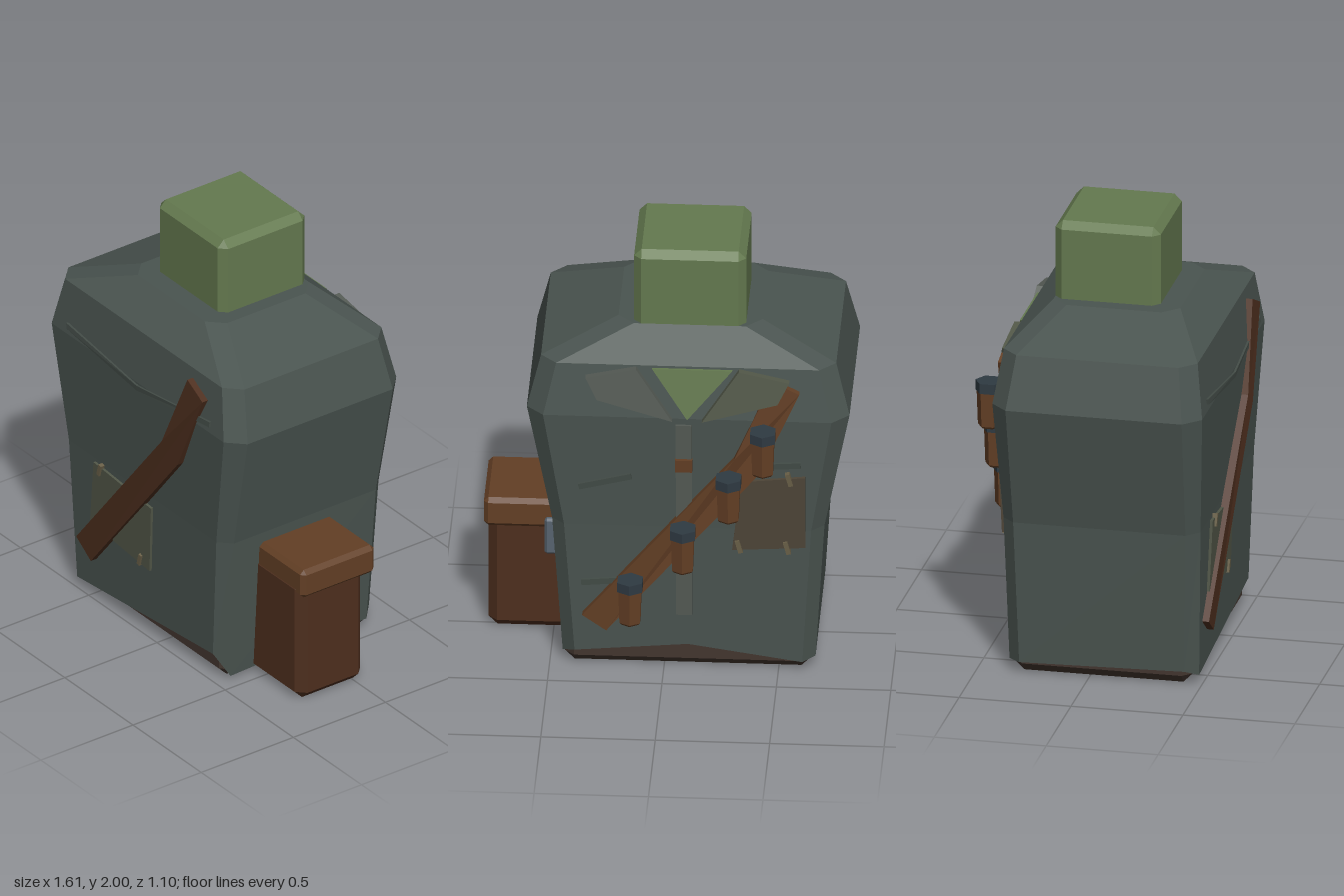
import * as THREE from 'three';
import { ConvexGeometry } from 'three/addons/geometries/ConvexGeometry.js';

const mat = (color) => new THREE.MeshStandardMaterial({ color, flatShading: true, side: THREE.DoubleSide });
const COAT = mat(0x4a5450), CREASE = mat(0x434c47), FLAP = mat(0x545a54), OLIVE = mat(0x525748);
const SKIN = mat(0x64794f), LEATHER = mat(0x4e2f1e), LID = mat(0x633f25), UNDER = mat(0x43362f);
const PATCH = mat(0x4f4638), THREAD = mat(0x6a6048), CAP = mat(0x2f3a42), STEEL = mat(0x57636f);
const MID = -0.105; // the torso's own centre line

// Torso levels: y, x range, z range, corner cut
const LEVELS = [
  [0.05, -0.66, 0.445, -0.362, 0.485, 0.055],
  [0.72, -0.70, 0.49, -0.38, 0.50, 0.055],
  [1.28, -0.81, 0.60, -0.41, 0.527, 0.075],
  [1.52, -0.75, 0.54, -0.37, 0.495, 0.07],
  [1.645, -0.42, 0.21, -0.22, 0.345, 0.07],
];
// Uneven hem heights around the bottom ring
const HEM = [0.04, 0.125, 0.02, 0.05, 0.08, 0.125, 0.05, 0.055, 0.07];

function torsoGeometry() {
  const pos = [], idx = [], n = 9;
  LEVELS.forEach(([y, x0, x1, z0, z1, c], k) => {
    const ring = [
      [x0 + c, z1], [x1 - c, z1], [x1, z1 - c], [x1, z0 + c], [x1 - c, z0],
      [MID, z0], [x0 + c, z0], [x0, z0 + c], [x0, z1 - c],
    ];
    ring.forEach(([x, z], i) => pos.push(x, k ? y : HEM[i], z));
  });
  for (let k = 0; k < LEVELS.length - 1; k++) {
    for (let i = 0; i < n; i++) {
      const a = k * n + i, b = k * n + (i + 1) % n;
      idx.push(a, b, b + n, a, b + n, a + n);
    }
  }
  const top = (LEVELS.length - 1) * n;
  for (let i = 1; i < n - 1; i++) idx.push(top, top + i, top + i + 1);
  const g = new THREE.BufferGeometry();
  g.setAttribute('position', new THREE.Float32BufferAttribute(pos, 3));
  g.setIndex(idx);
  g.computeVertexNormals();
  return g;
}

// Depth of the torso's front or back surface at height y
function surface(y, back) {
  const col = back ? 3 : 4;
  let k = 0;
  while (k < LEVELS.length - 2 && y > LEVELS[k + 1][0]) k++;
  const a = LEVELS[k], b = LEVELS[k + 1];
  return THREE.MathUtils.mapLinear(y, a[0], b[0], a[col], b[col]);
}

// Thin plate with an outline in x/y, laid on the front or back of the torso
function plateGeometry(points, lift, back) {
  const shape = new THREE.Shape(points.map(([x, y]) => new THREE.Vector2(x, y)));
  const g = new THREE.ExtrudeGeometry(shape, { depth: 1, bevelEnabled: false });
  const p = g.attributes.position;
  for (let i = 0; i < p.count; i++) {
    const s = surface(p.getY(i), back), outer = (p.getZ(i) > 0.5) !== back;
    const out = outer ? lift : -0.02;
    p.setZ(i, back ? s - out : s + out);
  }
  g.computeVertexNormals();
  return g;
}

// Box with cut edges, given by its ranges
function cutBox(x0, x1, y0, y1, z0, z1, c) {
  const pts = [];
  for (const i of [0, 1]) for (const j of [0, 1]) for (const k of [0, 1]) {
    for (let axis = 0; axis < 3; axis++) {
      const inset = [c, c, c];
      inset[axis] = 0;
      pts.push(new THREE.Vector3(
        i ? x1 - inset[0] : x0 + inset[0],
        j ? y1 - inset[1] : y0 + inset[1],
        k ? z1 - inset[2] : z0 + inset[2]));
    }
  }
  return new ConvexGeometry(pts);
}

// Tilted strip outline from one point to another
function strip(x0, y0, x1, y1, w) {
  const l = Math.hypot(x1 - x0, y1 - y0), dx = -(y1 - y0) / l * w / 2, dy = (x1 - x0) / l * w / 2;
  return [[x0 + dx, y0 + dy], [x1 + dx, y1 + dy], [x1 - dx, y1 - dy], [x0 - dx, y0 - dy]];
}

export function createModel() {
  const model = new THREE.Group();
  const add = (name, geometry, material, parent = model) => {
    const m = new THREE.Mesh(geometry, material);
    m.name = name;
    parent.add(m);
    return m;
  };
  const plate = (name, points, lift, back, material) => add(name, plateGeometry(points, lift, back), material);
  const mirror = (points) => points.map(([x, y]) => [2 * MID - x, y]);

  // Torso, head and the underside showing below the hem
  add('coat', torsoGeometry(), COAT);
  add('head', cutBox(-0.35, 0.14, 1.58, 2.0, -0.22, 0.25, 0.033), SKIN);
  add('underside', cutBox(-0.64, 0.435, 0, 0.3, -0.34, 0.455, 0.042), UNDER);

  // Shoulder strap, the same on front and back
  const strap = [[-0.565, 0.275], [-0.46, 0.2], [0.21, 1.02], [0.385, 1.42], [0.265, 1.475], [0.1, 1.09]];
  plate('frontStrap', strap, 0.03, false, LEATHER);
  plate('backStrap', mirror(strap), 0.03, true, LID);

  // Front crease and patch
  plate('chestCrease', [[-0.625, 1.335], [-0.62, 1.31], [-0.1, 1.245], [0.425, 1.31], [0.425, 1.335], [-0.1, 1.27]],
    0.01, false, CREASE);
  plate('frontPatch', [[-0.45, 0.705], [-0.485, 0.385], [-0.05, 0.34], [-0.03, 0.67]], 0.012, false, OLIVE);
  for (const [x, y] of [[-0.4, 0.69], [-0.115, 0.37]])
    plate('stitch', strip(x - 0.008, y - 0.028, x + 0.008, y + 0.028, 0.018), 0.022, false, THREAD);

  // Collar flaps and the bare neck between them
  const flap = [[-0.33, 1.515], [-0.55, 1.47], [-0.5, 1.37], [-0.17, 1.28]];
  plate('rightCollarFlap', flap, 0.03, true, OLIVE);
  plate('leftCollarFlap', mirror(flap), 0.03, true, FLAP);
  plate('neckOpening', [[0.05, 1.51], [-0.3, 1.51], [MID, 1.28]], 0.012, true, SKIN);

  // Back seam, its button, creases and patch
  plate('backSeam', strip(-0.09, 0.28, -0.09, 1.25, 0.07), 0.012, true, FLAP);
  plate('seamButton', strip(-0.09, 1.02, -0.09, 1.08, 0.075), 0.03, true, LID);
  for (const [x0, y0, x1, y1] of [[0.37, 0.92, 0.14, 0.98], [0.36, 0.43, 0.15, 0.45], [-0.46, 1.05, -0.6, 1.06]])
    plate('backCrease', strip(x0, y0, x1, y1, 0.028), 0.012, true, CREASE);
  plate('backPatch', [[-0.34, 0.97], [-0.62, 1.0], [-0.62, 0.64], [-0.3, 0.62]], 0.015, true, PATCH);
  for (const [x, y] of [[-0.55, 0.99], [-0.33, 0.64], [-0.54, 0.64]])
    plate('stitch', strip(x - 0.008, y - 0.03, x + 0.008, y + 0.03, 0.02), 0.026, true, THREAD);

  // Capped vials hanging along the back strap
  for (const [x, y] of [[-0.44, 1.06], [-0.29, 0.825], [-0.09, 0.565], [0.14, 0.297]]) {
    const vial = new THREE.Group();
    vial.name = 'vial';
    vial.position.set(x, y, -0.488);
    add('vialBody', new THREE.CylinderGeometry(0.058, 0.052, 0.165, 6), LID, vial).position.y = 0.0925;
    add('vialBase', new THREE.CylinderGeometry(0.052, 0.044, 0.01, 6), LID, vial).position.y = 0.005;
    add('vialCap', new THREE.CylinderGeometry(0.063, 0.063, 0.046, 6), CAP, vial).position.y = 0.19;
    model.add(vial);
  }

  // Side pouch with lid and clip
  add('pouch', cutBox(0.36, 0.787, 0, 0.6, -0.05, 0.306, 0.04), LEATHER);
  add('pouchLid', cutBox(0.4, 0.803, 0.53, 0.67, -0.095, 0.303, 0.02), LID);
  add('clip', cutBox(0.44, 0.535, 0.415, 0.59, -0.12, -0.08, 0.01), STEEL);
  return model;
}
